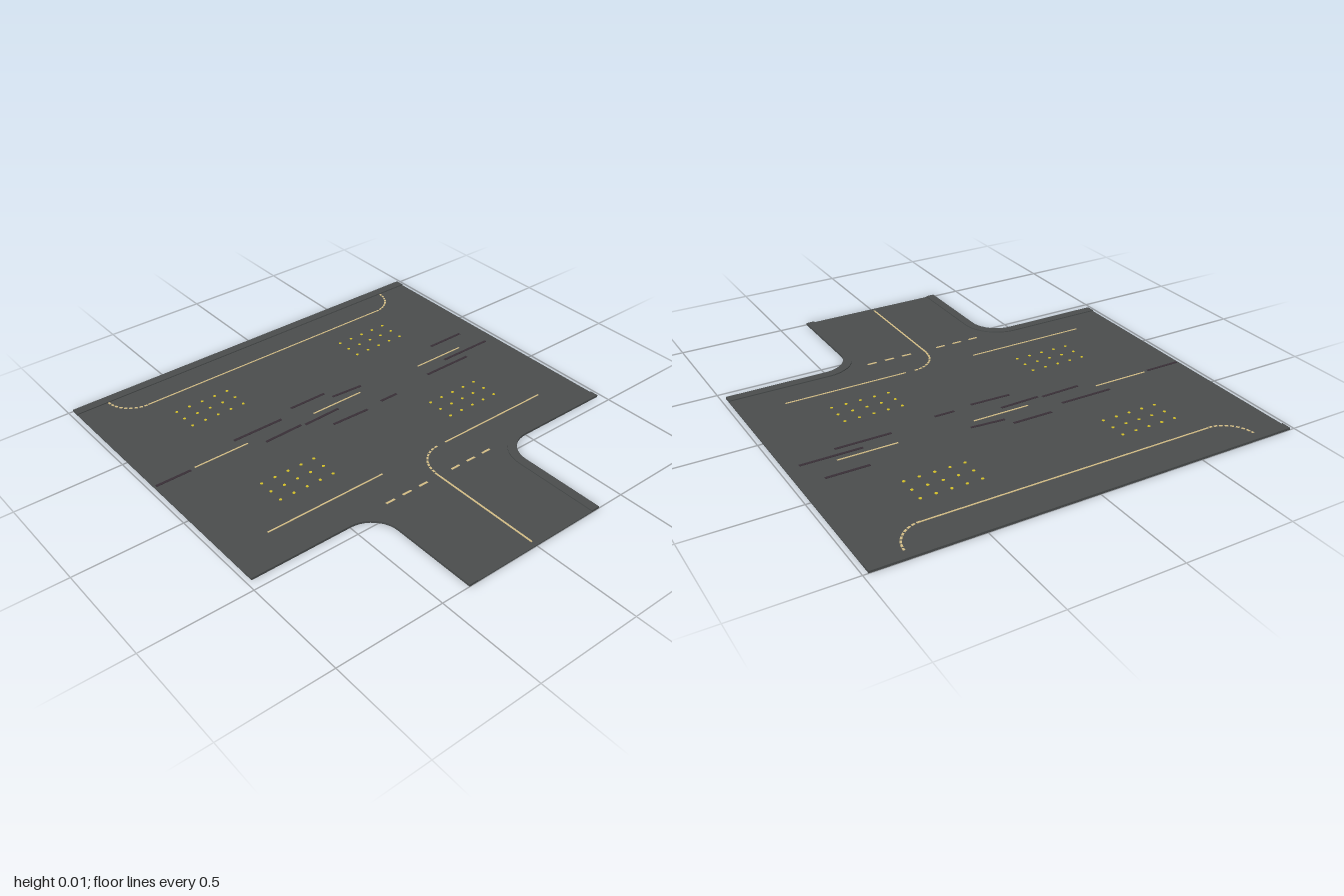
import * as THREE from 'three';

const mat = (name, color) => {
  const m = new THREE.MeshStandardMaterial({ color });
  m.name = name;
  return m;
};

const W = 0.977, BACK = -1, EDGE = 0.45, STEM = 0.363, R = 0.135; // road outline
const CURB = 0.042, BASE = 0.005, TOP = 0.01;

export function createModel() {
  const asphalt = mat('asphalt', 0x4a4d4d);
  const cream = mat('lanePaint', 0xd2bc85);
  const yellow = mat('yellowStud', 0xd2be28);
  const rubber = mat('tyreMark', 0x382f36);
  const model = new THREE.Group();
  model.name = 'roadJunction';

  const add = (name, geo, material, parent = model) => {
    const m = new THREE.Mesh(geo, material);
    m.name = name;
    parent.add(m);
    return m;
  };
  const group = (name) => {
    const g = new THREE.Group();
    g.name = name;
    model.add(g);
    return g;
  };
  // Plan outline (x, z) extruded upward from the ground
  const slab = (points, height) => {
    const shape = new THREE.Shape(points.map(([x, z]) => new THREE.Vector2(x, -z)));
    return new THREE.ExtrudeGeometry(shape, { depth: height, bevelEnabled: false }).rotateX(-Math.PI / 2);
  };
  // Edge of the right-hand corner, from the side road out to the main road
  const corner = (inset) => {
    const cx = STEM + R, cz = EDGE + R, r = R + inset, pts = [[STEM - inset, 1]];
    for (let i = 0; i <= 10; i++) {
      const a = (i / 10) * Math.PI / 2;
      pts.push([cx - r * Math.cos(a), cz - r * Math.sin(a)]);
    }
    pts.push([W, EDGE - inset]);
    return pts;
  };
  const mirror = (pts) => pts.map(([x, z]) => [-x, z]);

  // Road surface and raised edges
  const right = corner(0);
  add('roadSlab', slab([...right, [W, BACK], [-W, BACK], ...mirror(right).reverse()], BASE), asphalt);
  const curb = [...right, ...corner(CURB).reverse()];
  add('leftCornerCurb', slab(curb, TOP), asphalt);
  add('rightCornerCurb', slab(mirror(curb), TOP), asphalt);
  add('backCurb', slab([[-W, BACK], [-W, BACK + 0.045], [W, BACK + 0.045], [W, BACK]], TOP), asphalt);

  // Thin painted strip between two plan points
  const strip = (name, x1, z1, x2, z2, width, material, parent, h = 0.0015) => {
    const m = add(name, new THREE.BoxGeometry(Math.hypot(x2 - x1, z2 - z1), h, width), material, parent);
    m.position.set((x1 + x2) / 2, BASE + h / 2, (z1 + z2) / 2);
    m.rotation.y = -Math.atan2(z2 - z1, x2 - x1);
  };

  // Lane lines
  const lines = group('laneLines');
  const line = (x1, x2, z, w = 0.007) => strip('laneLine', x1, z, x2, z, w, cream, lines, 0.002);
  line(-0.685, 0.685, -0.823);
  for (const x of [-0.637, 0, 0.633]) line(x - 0.137, x + 0.137, -0.278);
  line(-0.775, -0.18, 0.268);
  line(0.18, 0.77, 0.268);
  strip('sideRoadLine', -0.003, 0.405, -0.003, 0.975, 0.008, cream, lines, 0.002);
  for (const s of [-1, 1]) {
    for (const x of [0.092, 0.182, 0.272]) line(s * x - 0.023, s * x + 0.023, 0.43, 0.01);
  }

  // Dashed turning curves
  const arc = (cx, cz, from) => {
    const r = 0.135, n = 9, step = Math.PI / 2 / n;
    for (let i = 0; i < n; i++) {
      const a = from + (i + 0.2) * step, b = a + step * 0.65;
      strip('curveDash', cx + r * Math.cos(a), cz + r * Math.sin(a),
        cx + r * Math.cos(b), cz + r * Math.sin(b), 0.009, cream, lines, 0.002);
    }
  };
  arc(-0.685, -0.957, Math.PI / 2);
  arc(0.68, -0.957, 0);
  arc(0.135, 0.403, Math.PI);

  // Blocks of yellow studs
  const studs = group('studs');
  const studGeo = new THREE.CylinderGeometry(0.007, 0.007, 0.002, 8);
  for (const x0 of [-0.615, 0.337]) {
    for (const z0 of [-0.687, -0.005]) {
      for (let i = 0; i < 15; i++) {
        add('stud', studGeo, yellow, studs)
          .position.set(x0 + (i % 5) * 0.0685, BASE + 0.001, z0 + Math.floor(i / 5) * 0.0685);
      }
    }
  }

  // Tyre marks: x1, z1, x2, z2
  const marks = group('tyreMarks');
  [
    [-0.193, -0.378, 0, -0.378], [-0.535, -0.334, -0.278, -0.334], [0.67, -0.376, 0.865, -0.376],
    [0.015, -0.332, 0.175, -0.32], [-0.967, -0.272, -0.796, -0.272], [-0.43, -0.236, -0.235, -0.242],
    [-0.218, -0.232, -0.025, -0.238], [0.638, -0.24, 0.917, -0.24], [0.485, -0.193, 0.743, -0.193],
    [0.167, -0.161, 0.262, -0.161], [-0.118, -0.153, 0.075, -0.147],
  ].forEach((m) => strip('tyreMark', ...m, 0.013, rubber, marks));

  return model;
}
